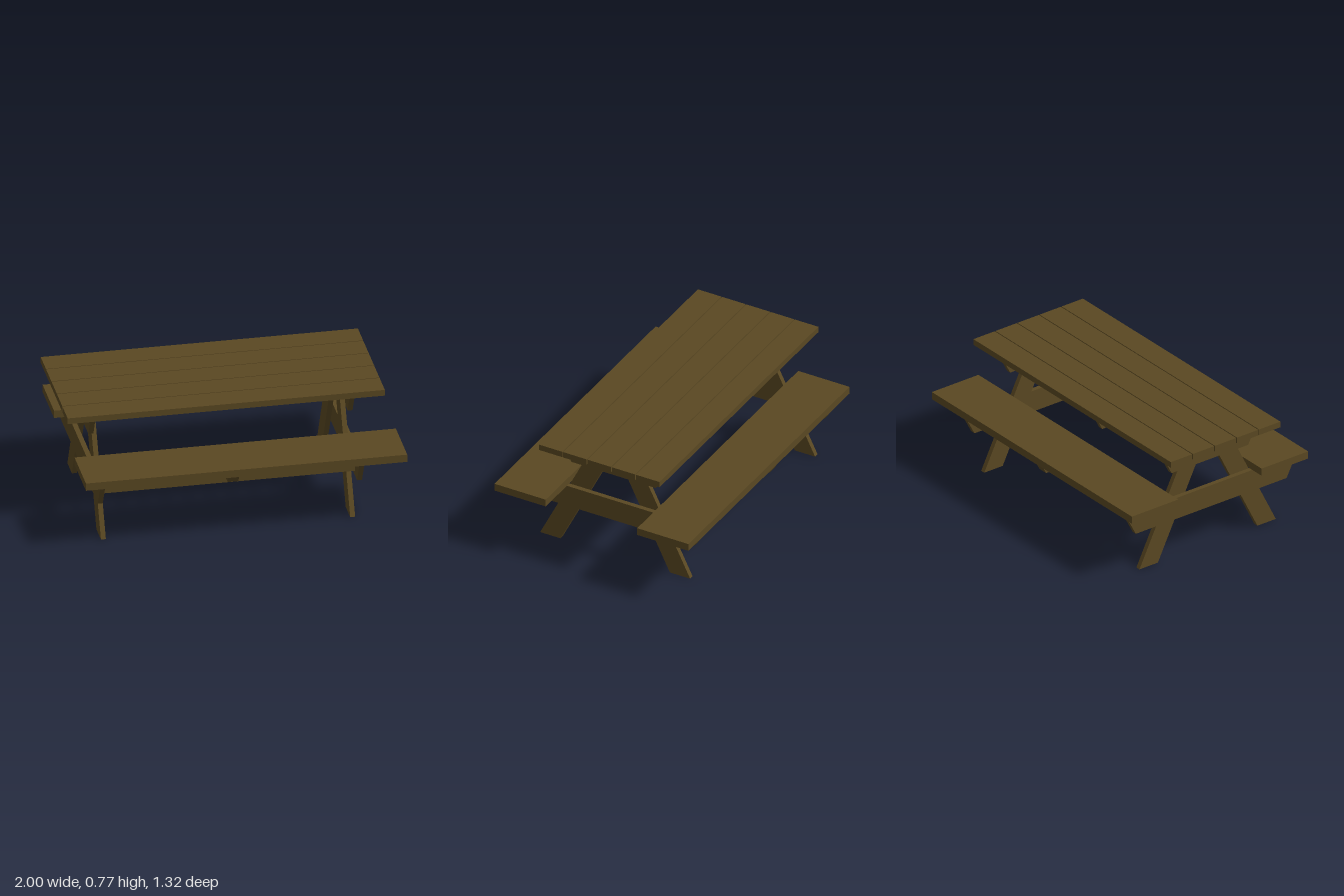
import * as THREE from 'three';

export function createModel() {
  const table = new THREE.Group();
  table.name = 'picnicTable';
  const wood = new THREE.MeshStandardMaterial({ color: 0x5a4822 });
  wood.name = 'brownWood';

  function add(name, geometry) {
    const mesh = new THREE.Mesh(geometry, wood);
    mesh.name = name;
    table.add(mesh);
  }

  // Straight board given by its limits on each axis
  function board(name, x0, x1, y0, y1, z0, z1) {
    const g = new THREE.BoxGeometry(x1 - x0, y1 - y0, z1 - z0);
    g.translate((x0 + x1) / 2, (y0 + y1) / 2, (z0 + z1) / 2);
    add(name, g);
  }

  // Board with slanted ends: a [z, y] outline extruded from x0 to x1
  function slanted(name, x0, x1, outline) {
    const shape = new THREE.Shape(outline.map(([z, y]) => new THREE.Vector2(-z, y)));
    const g = new THREE.ExtrudeGeometry(shape, { depth: x1 - x0, bevelEnabled: false });
    g.rotateY(Math.PI / 2);
    g.translate(x0, 0, 0);
    add(name, g);
  }

  // Table top planks
  for (let i = 0; i < 5; i++) {
    const z = 0.405 - i * 0.165;
    board('topPlank', -1, 0.915, 0.732, 0.77, z - 0.159, z);
  }

  // Benches, each with a stiffening rail and a middle cleat
  for (const s of [1, -1]) {
    const side = s > 0 ? 'front' : 'back';
    board(side + 'Bench', -0.94, 1, 0.41, 0.458, s * 0.485 - 0.174, s * 0.485 + 0.174);
    board(side + 'BenchRail', -0.82, 0.715, 0.3, 0.41, s * 0.485 - 0.015, s * 0.485 + 0.015);
    slanted(side + 'BenchCleat', -0.08, -0.015,
      [[0.315, 0.41], [0.335, 0.372], [0.637, 0.372], [0.657, 0.41]].map(([z, y]) => [s * z, y]));
  }

  // End frames: outer is the outside face, dir points inwards along x
  for (const [outer, dir] of [[-0.85, 1], [0.745, -1]]) {
    const span = (a, b) => [outer + dir * a, outer + dir * b].sort((p, q) => p - q);
    slanted('topBeam', ...span(0, 0.03),
      [[0.352, 0.732], [0.28, 0.59], [-0.293, 0.59], [-0.365, 0.732]]);
    slanted('topCleat', ...span(0.03, 0.1),
      [[0.352, 0.732], [0.334, 0.696], [-0.347, 0.696], [-0.365, 0.732]]);
    slanted('seatBeam', ...span(0, 0.03),
      [[0.64, 0.41], [0.567, 0.27], [-0.56, 0.27], [-0.633, 0.41]]);
    for (const s of [1, -1]) {
      slanted('leg', ...span(0.03, 0.06),
        [[0.51, 0], [0.372, 0], [0.025, 0.696], [0.163, 0.696]].map(([z, y]) => [s * z, y]));
    }
  }

  return table;
}
